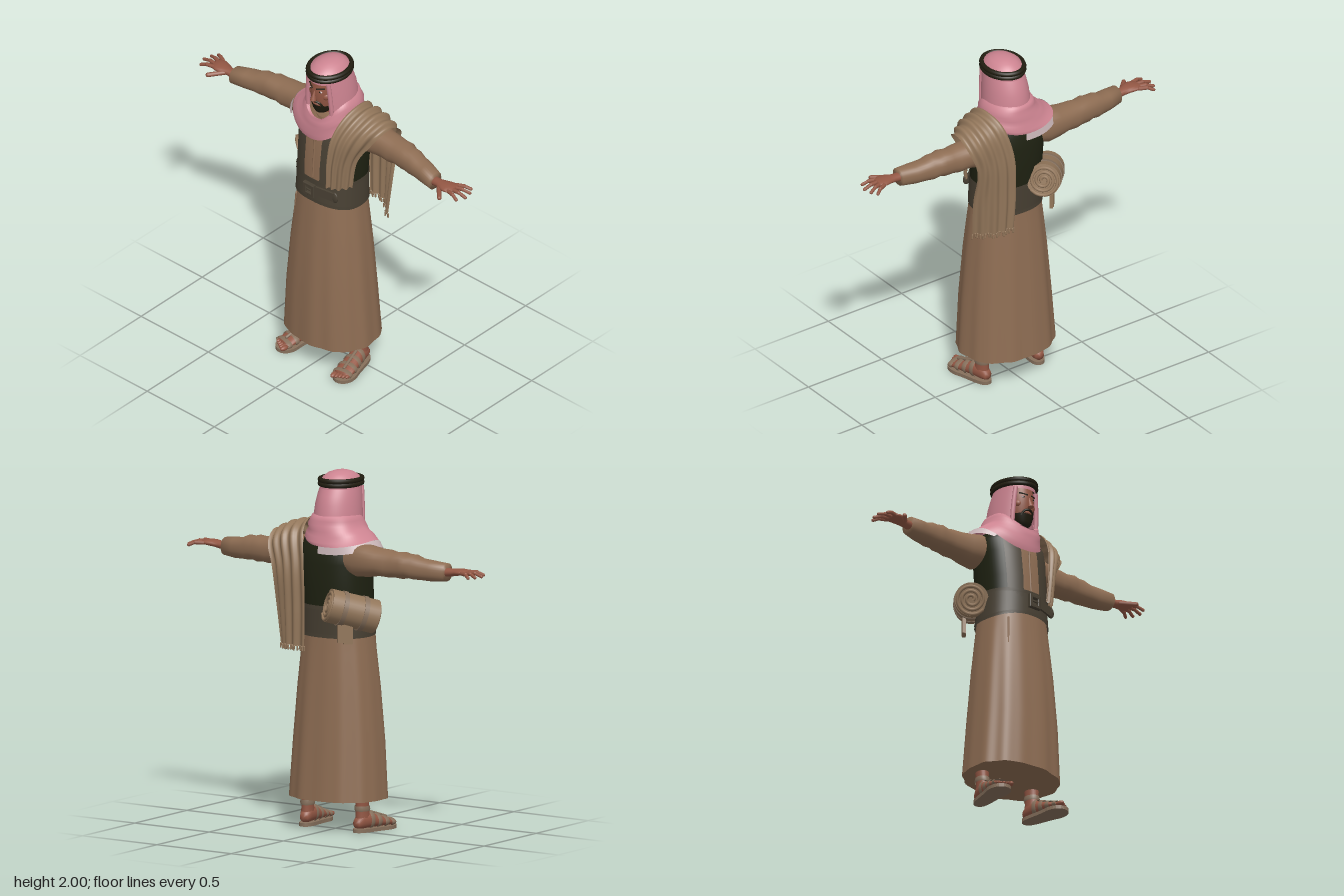
import * as THREE from 'three';
import { mergeVertices } from 'three/addons/utils/BufferGeometryUtils.js';

const TAU = Math.PI * 2;
const V = (x, y, z) => new THREE.Vector3(x, y, z);
const paint = (name, color, side = THREE.FrontSide) => {
  const m = new THREE.MeshStandardMaterial({ color, side });
  m.name = name;
  return m;
};

export function createModel() {
  const D = THREE.DoubleSide;
  const robe = paint('robe brown', 0x8e6d53, D), shawlTan = paint('shawl tan', 0x92765a, D);
  const vest = paint('vest dark green', 0x1f2212, D), olive = paint('belt olive', 0x484033, D);
  const pink = paint('scarf pink', 0xcd8491, D), pale = paint('scarf pale edge', 0xcdb9bb, D);
  const skin = paint('skin', 0x935744), black = paint('band and beard black', 0x211d10, D);
  const leather = paint('sandal leather', 0x86705c, D);
  const model = new THREE.Group();

  const add = (name, geo, mat, parent = model) => {
    const m = new THREE.Mesh(geo, mat);
    m.name = name;
    parent.add(m);
    return m;
  };
  const group = (name, parent = model) => {
    const g = new THREE.Group();
    g.name = name;
    parent.add(g);
    return g;
  };

  // Surface through oval rings [y, halfX, halfZ, centreZ, centreX, frontDrop, backDrop], bottom to top;
  // angle 0 is the front and grows towards +x
  function loft(rings, { a0 = 0, a1 = TAU, n = 48, e = 0.88, grow = 0, fold = () => 0 } = {}) {
    const pos = [], idx = [];
    rings.forEach(([y, hx, hz, cz = 0, cx = 0, fd = 0, bd = 0], j) => {
      for (let i = 0; i <= n; i++) {
        const a = a0 + (a1 - a0) * (i === n && a1 - a0 === TAU ? 0 : i / n);
        const s = Math.sin(a), c = Math.cos(a), k = 1 + fold(a, j / (rings.length - 1));
        pos.push(cx + (hx * k + grow) * Math.sign(s) * Math.abs(s) ** e,
          y - (c > 0 ? fd : bd) * c * c,
          cz + (hz * k + grow) * Math.sign(c) * Math.abs(c) ** e);
        if (i < n && j < rings.length - 1) {
          const p = j * (n + 1) + i, q = p + n + 1;
          idx.push(p, p + 1, q + 1, p, q + 1, q);
        }
      }
    });
    let g = new THREE.BufferGeometry();
    g.setAttribute('position', new THREE.Float32BufferAttribute(pos, 3));
    g.setIndex(idx);
    g = mergeVertices(g, 1e-5);
    g.computeVertexNormals();
    return g;
  }
  const tube = (pts, r, closed = false, seg = 40) =>
    new THREE.TubeGeometry(new THREE.CatmullRomCurve3(pts, closed), seg, r, 8, closed);
  const rod = (name, a, b, r, mat, parent) => {
    const d = b.clone().sub(a);
    const m = add(name, new THREE.CapsuleGeometry(r, d.length(), 4, 8), mat, parent);
    m.position.copy(a).add(b).multiplyScalar(0.5);
    m.quaternion.setFromUnitVectors(V(0, 1, 0), d.normalize());
    return m;
  };
  const ball = (name, x, y, z, sx, sy, sz, mat, parent) => {
    const m = add(name, new THREE.SphereGeometry(1, 20, 14), mat, parent);
    m.position.set(x, y, z);
    m.scale.set(sx, sy, sz);
    return m;
  };

  // Robe skirt with soft vertical folds and a closed hem
  const folds = (a, t) => (1 - t) * (0.012 * Math.sin(9 * a + 1) + 0.01 * Math.sin(14 * a));
  const skirt = [[0.18, 0.28, 0.228, 0.03], [0.5, 0.26, 0.215, 0.037], [0.8, 0.235, 0.195, 0.037],
    [1.0, 0.213, 0.178, 0.035], [1.12, 0.198, 0.168, 0.034], [1.22, 0.188, 0.16, 0.03]];
  add('robeSkirt', loft(skirt, { n: 120, fold: folds }), robe);
  add('robeHem', loft([[0.18, 0, 0, 0.03], skirt[0]], { n: 120, fold: a => folds(a, 0) }), robe);
  rod('robeFrontSeam', V(-0.145, 1.08, 0.168), V(-0.19, 0.2, 0.205), 0.006, robe);

  // Torso and vest
  const torso = [[1.2, 0.19, 0.165, 0.03], [1.35, 0.194, 0.17, 0.02], [1.5, 0.2, 0.165, 0.01],
    [1.58, 0.2, 0.15, 0.005], [1.63, 0.17, 0.125, 0], [1.68, 0.08, 0.085, 0.01]];
  add('robeTorso', loft(torso), robe);
  const panel = (name, a0, a1, mat, grow) => add(name, loft(torso.slice(0, 5), { a0, a1, grow }), mat);
  panel('vestBack', 0.72, TAU - 0.72, vest, 0.006);
  panel('vestLapelRight', -0.76, -0.25, olive, 0.01);
  panel('vestLapelLeft', 0.22, 0.76, olive, 0.01);
  rod('robePlacket', V(0.0, 1.27, 0.193), V(0, 1.52, 0.176), 0.006, robe);

  // Wide belt, raised at the front, with buckle and tongue
  add('belt', loft([[1.09, 0.208, 0.176, 0.034, 0, -0.03], [1.18, 0.205, 0.176, 0.03, 0, -0.01],
    [1.265, 0.203, 0.176, 0.026]]), olive);
  for (const [y, hx] of [[1.1, 0.209], [1.255, 0.205]]) {
    add('beltEdge', loft([[y - 0.012, hx, 0.18, 0.03, 0, y < 1.2 ? -0.03 : 0],
      [y + 0.008, hx, 0.18, 0.03, 0, y < 1.2 ? -0.03 : 0]]), olive);
  }
  const buckle = group('buckle');
  const frame = new THREE.Shape([[-0.036, -0.036], [0.036, -0.036], [0.036, 0.036], [-0.036, 0.036]]
    .map(p => new THREE.Vector2(...p)));
  frame.holes.push(new THREE.Path([[-0.022, -0.022], [-0.022, 0.022], [0.022, 0.022], [0.022, -0.022]]
    .map(p => new THREE.Vector2(...p))));
  add('buckleFrame', new THREE.ExtrudeGeometry(frame, { depth: 0.016, bevelSize: 0.004, bevelThickness: 0.004,
    bevelSegments: 1 }), olive, buckle).position.set(0, 1.2, 0.212);
  rod('bucklePin', V(-0.03, 1.2, 0.224), V(0.03, 1.2, 0.226), 0.005, olive, buckle);
  const tongue = add('beltTongue', new THREE.BoxGeometry(0.12, 0.055, 0.012), olive, buckle);
  tongue.position.set(0.095, 1.2, 0.199);
  tongue.rotation.set(0, 0.25, -0.08);
  ball('beltTongueTip', 0.152, 1.195, 0.183, 0.025, 0.034, 0.01, olive, buckle);

  // Arms, hands, feet: built on the left and mirrored
  for (const side of ['left', 'right']) {
    const half = group(side + 'Limbs');
    if (side === 'right') half.scale.x = -1;
    const along = (name, rings, mat, opts) => add(name, loft(rings, opts).rotateZ(-Math.PI / 2), mat, half);
    along('sleeve', [[0.12, 0.08, 0.085, -0.035, -1.54], [0.2, 0.098, 0.095, -0.045, -1.535],
      [0.28, 0.086, 0.086, -0.05, -1.53], [0.34, 0.076, 0.077, -0.047, -1.528], [0.4, 0.076, 0.076, -0.043, -1.525],
      [0.44, 0.07, 0.07, -0.04, -1.525], [0.49, 0.074, 0.072, -0.036, -1.525], [0.52, 0.066, 0.066, -0.032, -1.522],
      [0.56, 0.069, 0.066, -0.028, -1.52], [0.6, 0.06, 0.06, -0.02, -1.513], [0.66, 0.058, 0.058, -0.01, -1.508],
      [0.745, 0.05, 0.05, 0.01, -1.504], [0.745, 0, 0, 0.01, -1.504]], robe,
    { n: 28, fold: (a, t) => (t < 0.9 ? 0.025 * Math.sin(3 * a + t * 19) : 0) });
    along('palm', [[0.72, 0.026, 0.03, 0.01, -1.503], [0.78, 0.022, 0.028, 0.012, -1.507],
      [0.815, 0.02, 0.042, 0.016, -1.512], [0.85, 0.018, 0.05, 0.014, -1.515], [0.885, 0.013, 0.046, 0.01, -1.515],
      [0.9, 0, 0, 0.01, -1.513]], skin, { n: 20, e: 1 });
    [[-0.03, 0.94, -0.068], [-0.004, 0.962, -0.034], [0.02, 0.972, 0.014], [0.045, 0.95, 0.064]].forEach(([z, x, tz]) => {
      const knuckle = V((0.87 + x) / 2 + 0.005, 1.516, (z + tz) / 2);
      rod('finger', V(0.87, 1.515, z), knuckle, 0.0115, skin, half);
      rod('fingerTip', knuckle, V(x, 1.502, tz), 0.0095, skin, half);
    });
    rod('thumb', V(0.8, 1.507, 0.04), V(0.862, 1.496, 0.105), 0.013, skin, half);

    // Foot with sandal, toes turned slightly out
    const foot = group('foot', half);
    foot.position.set(0.185, 0, 0);
    foot.rotation.y = 0.17;
    const fore = (name, rings, mat, opts) => add(name, loft(rings, { n: 24, e: 0.95, ...opts }).rotateX(Math.PI / 2), mat, foot);
    const shape = [[-0.06, 0, 0, -0.05], [-0.052, 0.025, 0.025, -0.05], [-0.02, 0.036, 0.045, -0.063],
      [0.04, 0.041, 0.045, -0.064], [0.09, 0.047, 0.035, -0.054], [0.14, 0.053, 0.026, -0.045],
      [0.19, 0.053, 0.018, -0.037], [0.215, 0, 0, -0.034]];
    fore('footBody', shape, skin);
    add('ankle', loft([[0.06, 0.036, 0.048, 0], [0.13, 0.032, 0.04, -0.005], [0.22, 0.04, 0.045, -0.008]],
      { n: 24, e: 1 }), skin, foot);
    [-0.038, -0.018, 0, 0.018, 0.037].forEach((x, i) => {
      const big = x === -0.038;
      ball('toe', x, 0.033, 0.222 - i * 0.008, big ? 0.015 : 0.011, big ? 0.014 : 0.011, 0.027, skin, foot);
    });
    const sole = new THREE.Shape();
    sole.moveTo(0, 0.065);
    sole.bezierCurveTo(0.06, 0.065, 0.04, -0.05, 0.062, -0.14);
    sole.bezierCurveTo(0.075, -0.27, -0.075, -0.275, -0.062, -0.15);
    sole.bezierCurveTo(-0.035, -0.05, -0.06, 0.065, 0, 0.065);
    add('sole', new THREE.ExtrudeGeometry(sole, { depth: 0.02, bevelEnabled: false, curveSegments: 16 })
      .rotateX(-Math.PI / 2), leather, foot);
    for (const j of [3, 4, 5, 6]) {
      const [z, hx, hv, c] = shape[j];
      fore('footStrap', [[z - 0.014, hx + 0.003, hv + 0.006, c], [z, hx + 0.007, hv + 0.007, c],
        [z + 0.014, hx + 0.004, hv + 0.004, c]], leather);
    }
    add('ankleStrap', loft([[0.118, 0.037, 0.046, -0.004], [0.13, 0.04, 0.048, -0.005], [0.147, 0.037, 0.045, -0.006]],
      { n: 24, e: 1 }), leather, foot);
    rod('instepStrap', V(0, 0.105, 0.055), V(0, 0.066, 0.175), 0.009, leather, foot);
  }

  // Head, face and beard
  const head = group('head');
  const skull = [[1.69, 0.03, 0.035, 0.115], [1.71, 0.055, 0.07, 0.09], [1.75, 0.074, 0.098, 0.072],
    [1.8, 0.083, 0.113, 0.065], [1.86, 0.086, 0.118, 0.062], [1.92, 0.08, 0.11, 0.058]];
  add('face', loft(skull, { e: 0.95 }), skin, head);
  add('neck', loft([[1.6, 0.07, 0.075, 0.03], [1.76, 0.056, 0.06, 0.04]]), skin, head);
  add('shirtCollar', loft([[1.56, 0.1, 0.11, 0.03], [1.66, 0.083, 0.095, 0.03, 0, 0.02]]), robe, head);
  add('chinBeard', loft([[1.678, 0, 0, 0.12], ...skull.slice(0, 3)],
    { a0: -1.5, a1: 1.5, e: 0.95, grow: 0.006 }), black, head);
  ball('lips', 0, 1.757, 0.168, 0.024, 0.008, 0.012, skin, head);
  add('moustache', tube([V(-0.04, 1.74, 0.153), V(-0.025, 1.768, 0.169), V(0, 1.774, 0.178),
    V(0.025, 1.768, 0.169), V(0.04, 1.74, 0.153)], 0.007), black, head);
  const nose = add('nose', new THREE.ConeGeometry(0.018, 0.075, 10), skin, head);
  nose.position.set(0, 1.823, 0.182);
  nose.rotation.x = -0.22;
  ball('noseTip', 0, 1.796, 0.19, 0.014, 0.012, 0.014, skin, head);
  for (const s of [-1, 1]) {
    const a = [s * 0.95, s * 1.5].sort((p, q) => p - q);
    add('sideBeard', loft(skull.slice(2, 4), { a0: a[0], a1: a[1], n: 8, e: 0.95, grow: 0.005 }), black, head);
    ball('eye', s * 0.034, 1.846, 0.168, 0.013, 0.006, 0.006, pale, head);
    ball('iris', s * 0.034, 1.846, 0.172, 0.005, 0.005, 0.004, black, head);
    rod('eyebrow', V(s * 0.016, 1.862, 0.178), V(s * 0.054, 1.87, 0.158), 0.0045, black, head);
    ball('cheek', s * 0.045, 1.81, 0.135, 0.026, 0.026, 0.026, skin, head);
  }

  // Head scarf: cap, open drape, draped collar with pale edge, and cord
  const scarf = group('headScarf');
  add('scarfCap', loft([[1.895, 0.108, 0.132, 0.05], [1.94, 0.105, 0.13, 0.054], [1.965, 0.093, 0.114, 0.054],
    [1.985, 0.066, 0.082, 0.053], [1.996, 0.035, 0.045, 0.053], [2, 0, 0, 0.053]], { e: 1 }), pink, scarf);
  const drape = [[1.69, 0.13, 0.152, 0.022], [1.75, 0.128, 0.152, 0.026], [1.82, 0.121, 0.148, 0.033],
    [1.87, 0.114, 0.14, 0.042], [1.905, 0.108, 0.132, 0.05]];
  add('scarfDrape', loft(drape, { a0: 0.74, a1: TAU - 0.74, e: 1 }), pink, scarf);
  for (const s of [-1, 1]) {
    add('scarfFaceEdge', tube(drape.map(([y, hx, hz, cz]) =>
      V(s * hx * Math.sin(0.74), y, cz + hz * Math.cos(0.74))), 0.013), pink, scarf);
  }
  const wrap = (a, t) => 0.025 * Math.sin(t * 16 + 2 * a) + 0.01 * Math.sin(5 * a);
  const cowl = [[1.635, 0.215, 0.178, 0.008, -0.042, 0.12, 0.035], [1.65, 0.2, 0.178, 0.012, -0.03, 0.1, 0.03],
    [1.67, 0.18, 0.174, 0.016, -0.02, 0.08, 0.02], [1.69, 0.165, 0.168, 0.018, -0.01, 0.075, 0.01],
    [1.71, 0.152, 0.163, 0.02, 0, 0.07, 0], [1.735, 0.142, 0.16, 0.02, 0, 0.075, 0],
    [1.76, 0.132, 0.153, 0.024, 0, 0.1, 0], [1.77, 0.112, 0.13, 0.03, 0, 0.12, 0]];
  add('scarfCollar', loft(cowl, { n: 72, fold: wrap }), pink, scarf);
  add('scarfPaleEdge', loft([[1.595, 0.235, 0.178, 0.004, -0.045, 0.07, 0.035], cowl[0]],
    { a0: Math.PI * 0.95, a1: TAU - 0.8 }), pale, scarf);
  for (const y of [1.927, 1.95]) {
    const pts = Array.from({ length: 24 }, (_, i) => V(0.107 * Math.sin(i * TAU / 24), y, 0.054 + 0.132 * Math.cos(i * TAU / 24)));
    add('headCord', tube(pts, 0.014, true, 64), black, scarf);
  }

  // Shawl over the left shoulder: rows of inner, middle and outer points from front belt to back hem
  const shawl = group('shawl');
  const rows = [[0.1, 1.25, 0.19, 0.16, 1.25, 0.17, 0.205, 1.25, 0.1], [0.11, 1.42, 0.197, 0.18, 1.43, 0.17, 0.235, 1.44, 0.09],
    [0.125, 1.58, 0.175, 0.22, 1.58, 0.145, 0.31, 1.56, 0.065], [0.145, 1.68, 0.1, 0.25, 1.66, 0.075, 0.35, 1.615, 0.04],
    [0.155, 1.715, 0, 0.26, 1.69, -0.02, 0.37, 1.64, -0.04], [0.13, 1.67, -0.11, 0.25, 1.64, -0.125, 0.36, 1.58, -0.12],
    [0.09, 1.5, -0.165, 0.21, 1.48, -0.165, 0.32, 1.46, -0.14], [0.08, 1.25, -0.168, 0.2, 1.25, -0.163, 0.315, 1.25, -0.1],
    [0.09, 1.03, -0.16, 0.2, 1.03, -0.155, 0.3, 1.02, -0.075]];
  const edges = [0, 3, 6].map(k => new THREE.CatmullRomCurve3(rows.map(r => V(r[k], r[k + 1], r[k + 2]))));
  const U = 36, W = 60, pos = [], idx = [];
  for (let j = 0; j <= W; j++) {
    const across = new THREE.CatmullRomCurve3(edges.map(c => c.getPoint(j / W)));
    for (let i = 0; i <= U; i++) {
      pos.push(...across.getPoint(i / U).toArray());
      const p = j * (U + 1) + i, q = p + U + 1;
      if (i < U && j < W) idx.push(p, p + 1, q + 1, p, q + 1, q);
    }
  }
  const cloth = new THREE.BufferGeometry();
  cloth.setAttribute('position', new THREE.Float32BufferAttribute(pos, 3));
  cloth.setIndex(idx);
  cloth.computeVertexNormals();
  const cp = cloth.attributes.position, cn = cloth.attributes.normal;
  for (let v = 0; v < cp.count; v++) {
    const u = (v % (U + 1)) / U, lift = 0.008 + 0.009 * Math.sin(u * TAU * 4 + 0.5);
    cp.setXYZ(v, cp.getX(v) + cn.getX(v) * lift, cp.getY(v) + cn.getY(v) * lift, cp.getZ(v) + cn.getZ(v) * lift);
  }
  cloth.computeVertexNormals();
  add('shawlCloth', cloth, shawlTan, shawl);
  for (let i = 0; i <= U; i += 2) {
    const p = V().fromBufferAttribute(cp, W * (U + 1) + i);
    rod('fringe', p, p.clone().add(V(0.004 * Math.sin(i * 2), -0.022, 0)), 0.005, shawlTan, shawl);
  }

  // Bedroll tied at the right back hip, spiral ends
  const roll = group('bedroll');
  const a = V(-0.268, 1.21, 0.0), b = V(-0.092, 1.285, -0.2), len = a.distanceTo(b);
  roll.position.copy(a).add(b).multiplyScalar(0.5);
  roll.quaternion.setFromUnitVectors(V(0, 1, 0), b.clone().sub(a).normalize());
  add('rollBody', new THREE.CylinderGeometry(0.094, 0.094, len, 32), shawlTan, roll);
  for (const s of [-1, 1]) {
    const spiral = Array.from({ length: 45 }, (_, i) => {
      const r = 0.012 + 0.076 * i / 44, t = i / 44 * TAU * 3;
      return V(r * Math.cos(t), s * len / 2, r * Math.sin(t));
    });
    add('rollSpiral', tube(spiral, 0.009, false, 110), shawlTan, roll);
    add('rollStrap', new THREE.CylinderGeometry(0.099, 0.099, 0.026, 32), leather, roll).position.y = s * 0.06;
  }
  for (const [x, z, h] of [[-0.19, -0.15, 0.12], [-0.165, -0.175, 0.1]]) {
    const tail = add('rollTieEnd', new THREE.BoxGeometry(0.05, h, 0.02), shawlTan);
    tail.position.set(x, 1.13, z);
    tail.rotation.y = 0.9;
  }
  return model;
}
